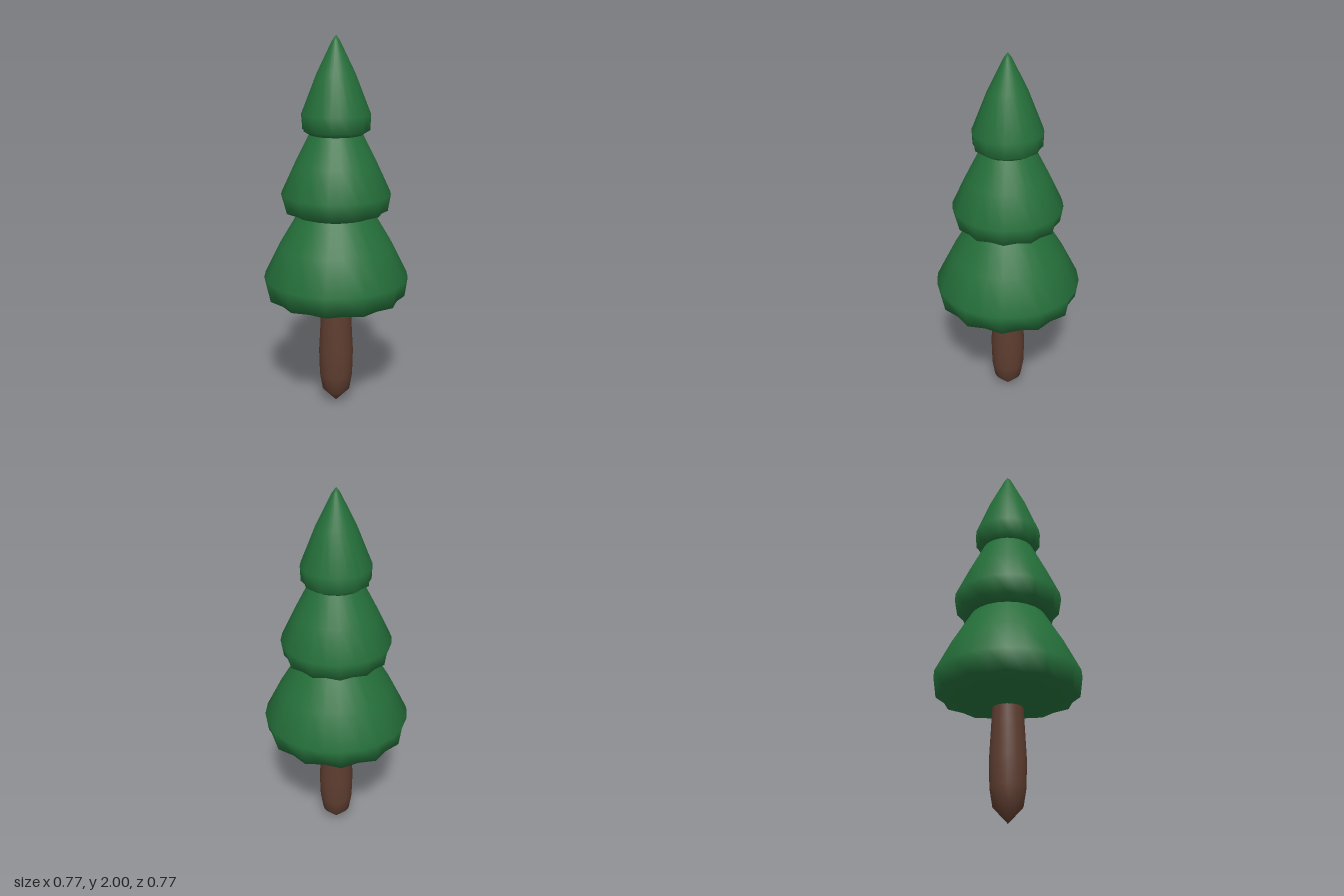
import * as THREE from 'three';
import { mergeVertices } from 'three/addons/utils/BufferGeometryUtils.js';

const SIDES = 24;

// Smooth turned shape from [radius, height] pairs, bottom to top.
// Every other corner of the ring at index `jagged` is drawn in a little.
function turned(profile, jagged = -1, depth = 0.93) {
  const lathe = new THREE.LatheGeometry(profile.map(([r, y]) => new THREE.Vector2(r, y)), SIDES);
  const pos = lathe.attributes.position;
  if (jagged >= 0) {
    for (let s = 0; s <= SIDES; s++) {
      if (s % 2 === 0) continue;
      const i = s * profile.length + jagged;
      pos.setX(i, pos.getX(i) * depth);
      pos.setZ(i, pos.getZ(i) * depth);
    }
  }
  lathe.deleteAttribute('normal');
  lathe.deleteAttribute('uv');
  const geometry = mergeVertices(lathe, 1e-4);
  geometry.computeVertexNormals();
  return geometry;
}

export function createModel() {
  const foliage = new THREE.MeshStandardMaterial({ color: 0x256f3a });
  foliage.name = 'foliage green';
  const bark = new THREE.MeshStandardMaterial({ color: 0x5e3d30 });
  bark.name = 'bark brown';

  const tree = new THREE.Group();
  tree.name = 'pineTree';
  const add = (name, geometry, material) => {
    const mesh = new THREE.Mesh(geometry, material);
    mesh.name = name;
    tree.add(mesh);
  };

  // Trunk with a pointed foot
  add('trunk', turned([
    [0, 0], [0.075, 0.08], [0.09, 0.17], [0.094, 0.31], [0.085, 0.48], [0.078, 0.62],
  ]), bark);

  // Three foliage tiers, each with a drooping rim and a shallow underside
  add('lowerTier', turned([
    [0, 0.575], [0.07, 0.578], [0.37, 0.642], [0.385, 0.75], [0.3, 0.92], [0.2, 1.09], [0.1, 1.2], [0, 1.25],
  ], 2), foliage);
  add('middleTier', turned([
    [0, 1.083], [0.2, 1.085], [0.272, 1.11], [0.287, 1.2], [0.215, 1.355], [0.137, 1.51], [0.07, 1.6], [0, 1.64],
  ], 2), foliage);
  add('upperTier', turned([
    [0, 1.503], [0.135, 1.505], [0.176, 1.53], [0.179, 1.61], [0.1, 1.81], [0.02, 1.973], [0, 2],
  ], 2), foliage);

  return tree;
}
